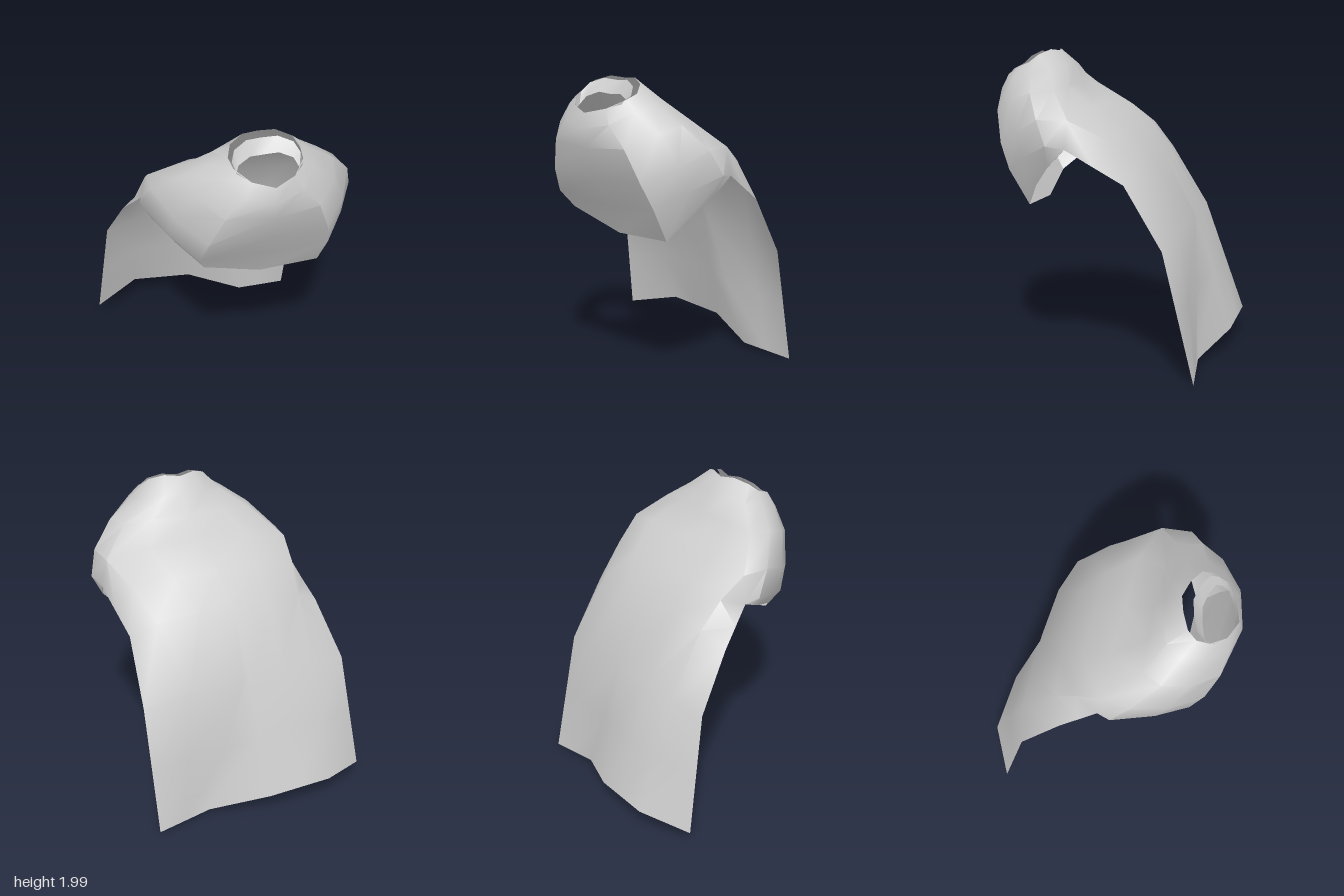
import * as THREE from 'three';
import { mergeGeometries, toCreasedNormals } from 'three/addons/utils/BufferGeometryUtils.js';

const MID = 0.11; // the shoulders sit a little to one side

// Surface through rows of points; rows run downwards, columns towards +x at the front
function loft(rows, closed = false) {
  const n = rows[0].length, index = [];
  for (let i = 0; i < rows.length - 1; i++) {
    for (let j = 0; j < (closed ? n : n - 1); j++) {
      const k = (j + 1) % n;
      const a = i * n + j, b = i * n + k, c = a + n, d = b + n;
      index.push(a, c, b, b, c, d);
    }
  }
  const g = new THREE.BufferGeometry();
  g.setAttribute('position', new THREE.Float32BufferAttribute(rows.flat(2), 3));
  g.setIndex(index);
  return g;
}

// Half-section point on one side; the -x shoulder is drawn back a little
const place = ([x, y, z], side) => [MID + side * x, y, side < 0 ? z - 0.7 * x ** 4 : z];

// Half section (front centre, round the side, to back centre) to a closed ring
const ring = (half) => [
  ...half.map((p) => place(p, 1)),
  ...half.slice(1, -1).reverse().map((p) => place(p, -1)),
];

// Half section to an open band across the chest
const band = (half) => [
  ...half.slice(1).reverse().map((p) => place(p, -1)),
  ...half.map((p) => place(p, 1)),
];

const mixRows = (a, b, t) => a.map((p, j) => p.map((v, k) => v + (b[j][k] - v) * t));

export function createModel() {
  const group = new THREE.Group();
  const material = new THREE.MeshStandardMaterial({ color: 0xcccccc, side: THREE.DoubleSide });
  const add = (name, geometry) => {
    const mesh = new THREE.Mesh(toCreasedNormals(geometry, 0.8), material);
    mesh.name = name;
    group.add(mesh);
  };

  // Half sections of the mantle: neck, collar, upper and outer shoulder
  const neck = [[0, 1.81, 0.74], [0.13, 1.84, 0.69], [0.21, 1.89, 0.6], [0.22, 1.92, 0.52],
    [0.19, 1.97, 0.46], [0.1, 2, 0.41], [0, 1.99, 0.38]];
  const collar = [[0, 1.72, 0.77], [0.18, 1.75, 0.72], [0.28, 1.83, 0.6], [0.32, 1.86, 0.47],
    [0.27, 1.88, 0.36], [0.14, 1.9, 0.3], [0, 1.92, 0.29]];
  const upper = [[0, 1.6, 0.74], [0.29, 1.62, 0.71], [0.43, 1.7, 0.56], [0.48, 1.75, 0.42],
    [0.43, 1.76, 0.28], [0.24, 1.78, 0.24], [0, 1.77, 0.23]];
  const shoulder = [[0, 1.4, 0.65], [0.37, 1.42, 0.66], [0.53, 1.51, 0.5], [0.62, 1.6, 0.33],
    [0.6, 1.6, 0.14], [0.33, 1.66, 0.05], [0, 1.67, 0.05]];

  // Chest drape below the shoulders, open towards the back
  const chest = [[0, 1.22, 0.54], [0.41, 1.26, 0.59], [0.55, 1.36, 0.44], [0.67, 1.45, 0.26],
    [0.64, 1.43, 0.15]];
  const chestHem = [[-0.54, 1.41, 0.08], [-0.5, 1.36, 0.18], [-0.39, 1.27, 0.36],
    [-0.25, 1.15, 0.49], [0.12, 1.03, 0.46], [0.51, 1.04, 0.46], [0.61, 1.18, 0.38],
    [0.71, 1.31, 0.27], [0.73, 1.41, 0.17]];

  // Cape rows from the +x edge to the -x edge
  const top = [
    ...[chest[4], ...shoulder.slice(4)].map((p) => place(p, 1)),
    ...[shoulder[5], shoulder[4], chest[4]].map((p) => place(p, -1)),
  ];
  const back = [[0.69, 1.22, -0.2], [0.53, 1.31, -0.27], [0.26, 1.34, -0.29], [0.03, 1.35, -0.29],
    [-0.22, 1.34, -0.29], [-0.45, 1.31, -0.26], [-0.61, 1.22, -0.2]];
  // The third and fourth columns meet at the tip of the pleat and part towards the hem
  const waist = [[0.7, 0.83, -0.44], [0.42, 0.91, -0.5], [0.06, 0.92, -0.52], [0.02, 0.92, -0.52],
    [-0.22, 0.93, -0.51], [-0.46, 0.92, -0.5], [-0.69, 0.89, -0.45]];
  const hem = [[0.69, 0.01, -0.64], [0.51, 0.03, -0.62], [0.33, 0.05, -0.6], [-0.04, 0.15, -0.75],
    [-0.25, 0.165, -0.76], [-0.46, 0.18, -0.77], [-0.77, 0.12, -0.61]];
  // Slight bulge between shoulders and back
  const blade = mixRows(top, back, 0.5).map(([x, y, z], j) =>
    [x, y + (j % 6 ? 0.025 : 0), z - (j % 6 ? 0.015 : 0)]);

  add('cloak', mergeGeometries([
    loft([neck, collar, upper, shoulder].map(ring), true),
    loft([...[shoulder.slice(0, 5), chest].map(band), chestHem]),
    loft([top, blade, back, waist, mixRows(waist, hem, 0.5), hem]),
  ]));

  // Inner neckband, standing free of the collar at the back
  const bandTop = neck.map(([x, y, z]) => [x * 0.95, y - 0.01, 0.72 + (z - 0.72) * 0.8]);
  const bandBase = neck.map(([x, y, z]) => [x * 0.88, y - 0.09, 0.7 + (z - 0.7) * 0.6]);
  add('neckband', loft([bandBase, bandTop].map(ring), true));

  return group;
}
